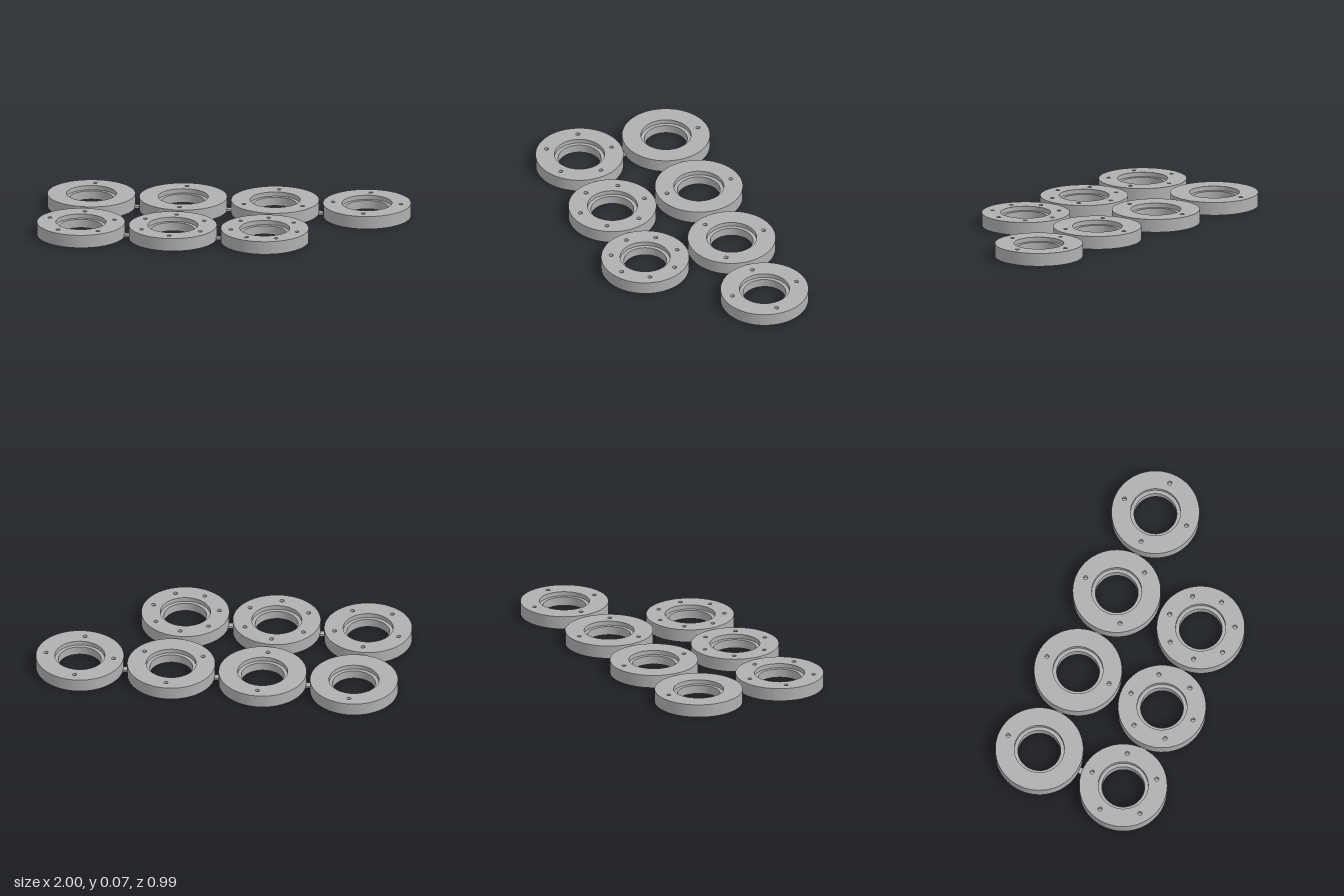
import * as THREE from 'three';
import { mergeGeometries } from 'three/addons/utils/BufferGeometryUtils.js';

const R = 0.241, BORE = 0.117, SEAT = 0.137;        // ring radii
const H = 0.0723, LEDGE = 0.048;                    // ring height, ledge height
const PITCH = 0.506, PIN_CIRCLE = 0.187, PIN = 0.0115;
const SEG = 64;

// One lathed band per profile segment keeps the edges between bands sharp
function bands(profile) {
  const parts = [];
  for (let i = 0; i < profile.length - 1; i++) {
    const pair = [profile[i], profile[i + 1]].map(([r, y]) => new THREE.Vector2(r, y));
    parts.push(new THREE.LatheGeometry(pair, SEG));
  }
  return mergeGeometries(parts);
}

function circle(PathType, x, y, r) {
  const p = new PathType();
  p.absarc(x, y, r, 0, Math.PI * 2, false);
  return p;
}

// Stepped ring with evenly spaced blind holes counting its number
function createRing(count, material) {
  const ring = new THREE.Group();
  const face = circle(THREE.Shape, 0, 0, R);
  face.holes.push(circle(THREE.Path, 0, 0, SEAT));
  const holeShape = bands([[PIN, H], [PIN, LEDGE], [0, LEDGE]]);

  for (let i = 0; i < count; i++) {
    const a = (i / count) * Math.PI * 2;
    const x = Math.sin(a) * PIN_CIRCLE, z = -Math.cos(a) * PIN_CIRCLE;
    face.holes.push(circle(THREE.Path, x, -z, PIN));
    const hole = new THREE.Mesh(holeShape, material);
    hole.name = 'blindHole';
    hole.position.set(x, 0, z);
    ring.add(hole);
  }

  // Outer wall, underside, bore, ledge and seat wall
  const body = new THREE.Mesh(
    bands([[SEAT, H], [SEAT, LEDGE], [BORE, LEDGE], [BORE, 0], [R, 0], [R, H]]), material);
  body.name = 'ringBody';
  const top = new THREE.Mesh(new THREE.ShapeGeometry(face, SEG / 2).rotateX(-Math.PI / 2), material);
  top.name = 'ringTop';
  top.position.y = H;
  ring.add(body, top);
  return ring;
}

export function createModel() {
  const model = new THREE.Group();
  model.name = 'ringSet';
  const grey = new THREE.MeshStandardMaterial({ color: 0xb0b0b0 });
  grey.name = 'grey';

  const columnX = (c) => (c - 1.5) * PITCH;
  const rowZ = (r) => (r - 0.5) * PITCH;

  // Thin bridges holding neighbouring rings together
  const bridge = (x, z, turned) => {
    const mesh = new THREE.Mesh(new THREE.BoxGeometry(0.034, 0.012, 0.036), grey);
    mesh.name = 'bridge';
    mesh.position.set(x, 0.0061, z);
    if (turned) mesh.rotation.y = Math.PI / 2;
    model.add(mesh);
  };

  for (let n = 1; n <= 7; n++) {
    const row = n > 4 ? 1 : 0, col = (n - 1) % 4;
    const ring = createRing(n, grey);
    ring.name = `ring${n}`;
    ring.position.set(columnX(col), 0, rowZ(row));
    model.add(ring);
    if (col > 0) bridge(columnX(col - 0.5), rowZ(row), false);
  }
  bridge(columnX(0), 0, true);
  return model;
}
